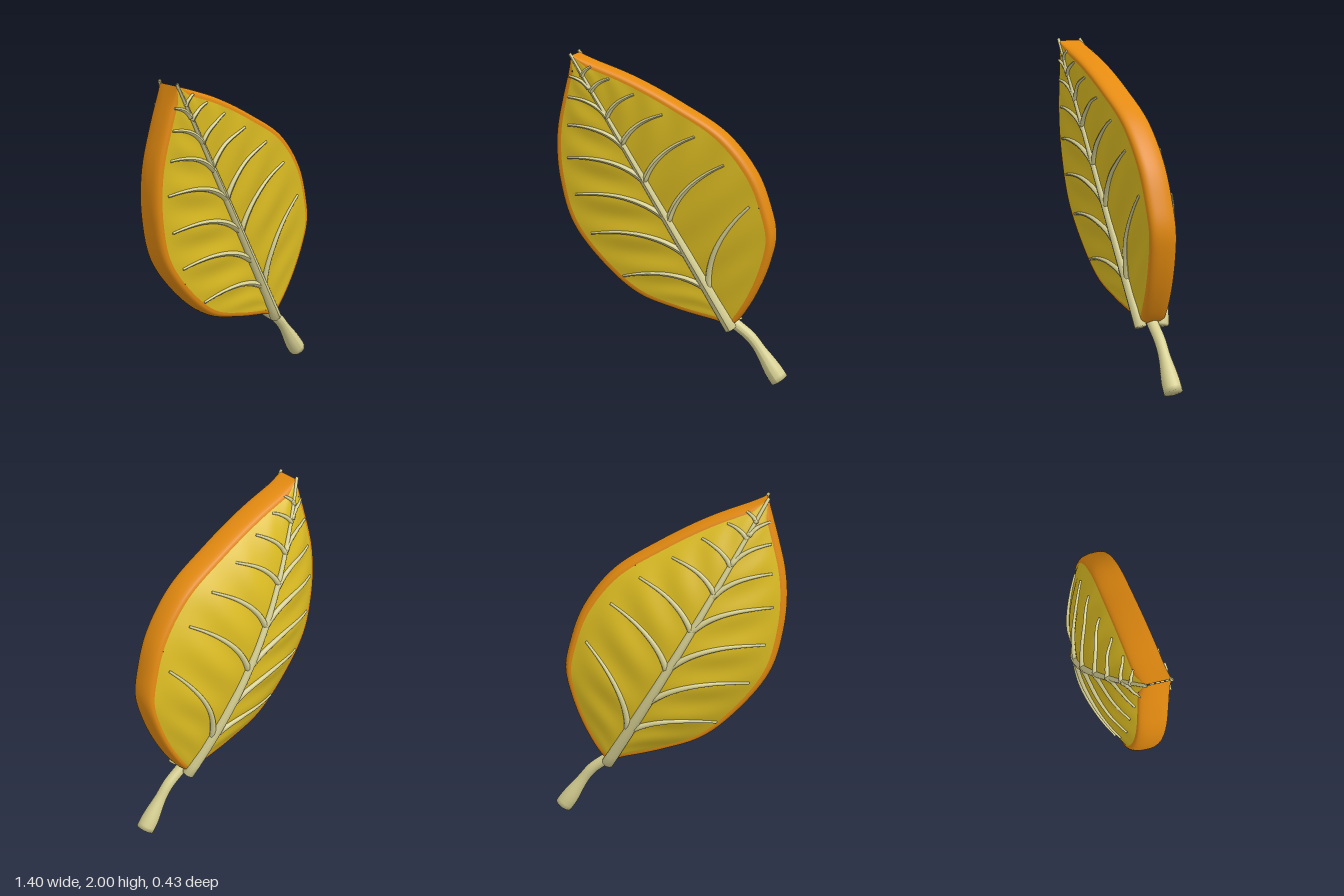
import * as THREE from 'three';
import { ParametricGeometry } from 'three/addons/geometries/ParametricGeometry.js';

const V2 = (x, y) => new THREE.Vector2(x, y);
const BASE = [0.355, 0.37], TIP = [-0.575, 1.985];

// Outline of each half, from the stem to the tip
const outline = (pts) => new THREE.CatmullRomCurve3(
  [BASE, ...pts, TIP].map(([x, y]) => new THREE.Vector3(x, y, 0)), false, 'centripetal').getSpacedPoints(200);
const edges = {
  '-1': outline([[0.01, 0.445], [-0.23, 0.53], [-0.465, 0.735], [-0.625, 0.96], [-0.69, 1.21], [-0.703, 1.4], [-0.69, 1.55], [-0.65, 1.72]]),
  '1': outline([[0.4, 0.4], [0.51, 0.58], [0.59, 0.79], [0.62, 0.95], [0.59, 1.11], [0.51, 1.32], [0.33, 1.545], [0.06, 1.715], [-0.23, 1.86]]),
};
const HALF = 0.07;

function edgeAt(t, side) {
  const f = THREE.MathUtils.clamp(t, 0, 1) * 200, i = Math.min(199, Math.floor(f));
  const p = edges[side][i].clone().lerp(edges[side][i + 1], f - i);
  return V2(p.x, p.y);
}
const ribAt = (t) => V2(...BASE).lerp(V2(...TIP), t);
const rimMid = (t) => -0.015 + 0.16 * t - 0.015 * t * t;
const dome = (t) => 0.18 * Math.pow(Math.max(0, Math.sin(Math.PI * t)), 0.9);

// Fraction of the half-width covered by the blade, the rest being rim
function bladeShare(t, side) {
  const len = edgeAt(t, side).distanceTo(ribAt(t));
  return 1 - Math.min(0.045, 0.5 * len) / Math.max(len, 1e-5);
}

// Blade height at (t along the midrib, u across), quilted between the veins
function bladeZ(t, u, face) {
  const share = bladeShare(t, u < 0 ? -1 : 1), q = Math.min(1, Math.abs(u) / share);
  const swell = 0.5 - 0.5 * Math.cos((2 * Math.PI * (t - 0.17 * Math.abs(u) - 0.14)) / 0.13);
  const puff = 0.016 * swell * Math.sin(Math.PI * q) * Math.sin(Math.PI * t);
  const bulge = face < 0 ? dome(t) * (1 - u * u) : 0;
  return rimMid(t) + face * (HALF + puff + bulge);
}

// Blade height under a point of the front plane
function heightAt(p, face) {
  let best = Infinity, bt = 0, bu = 0;
  for (const side of [-1, 1]) for (let i = 1; i < 200; i++) {
    const m = ribAt(i / 200), d = edgeAt(i / 200, side).sub(m);
    const k = THREE.MathUtils.clamp(p.clone().sub(m).dot(d) / d.lengthSq(), 0, 1);
    const dist = m.addScaledVector(d, k).distanceTo(p);
    if (dist < best) { best = dist; bt = i / 200; bu = k * side; }
  }
  return bladeZ(bt, bu, face);
}

// Tube whose radius follows a function of the distance along it; ends closed
function taperTube(points, radius, n = 32, sides = 10) {
  const curve = new THREE.CatmullRomCurve3(points);
  const g = new THREE.TubeGeometry(curve, n, 1, sides);
  const pos = g.attributes.position, v = new THREE.Vector3();
  for (let i = 0; i <= n; i++) {
    const inner = THREE.MathUtils.clamp(i, 1, n - 1);
    const end = i === 0 || i === n;
    const c = curve.getPointAt(i / n);
    const flat = curve.getPointAt(inner / n);
    for (let j = 0; j <= sides; j++) {
      const k = i * (sides + 1) + j;
      v.fromBufferAttribute(pos, k).sub(c).multiplyScalar(end ? 0.001 : radius(i / n)).add(end ? flat : c);
      // Outermost full rings sit on the true ends of the path
      if (!end && i === 1) v.add(curve.getPointAt(0)).sub(c);
      if (!end && i === n - 1) v.add(curve.getPointAt(1)).sub(c);
      if (end) v.add(curve.getPointAt(i / n)).sub(flat);
      pos.setXYZ(k, v.x, v.y, v.z);
    }
  }
  g.computeVertexNormals();
  return g;
}

function patch(fn, nu, nv) {
  const g = new ParametricGeometry((a, b, out) => fn(a, 0.002 + 0.996 * b, out), nu, nv);
  g.computeVertexNormals();
  return g;
}

export function createModel() {
  const model = new THREE.Group();
  model.name = 'leaf';
  const mat = (name, color) => Object.assign(new THREE.MeshStandardMaterial({ color }), { name });
  const yellow = mat('leafYellow', 0xdcbc22);
  const orange = mat('rimOrange', 0xe38a10);
  const pale = mat('veinPale', 0xd6cf92);
  const add = (name, geo, material, parent = model) => {
    const m = new THREE.Mesh(geo, material);
    m.name = name;
    parent.add(m);
  };

  // Front and back blade
  for (const face of [1, -1]) {
    add(face > 0 ? 'frontBlade' : 'backBlade', patch((a, t, out) => {
      const w = (a * 2 - 1) * face, side = w < 0 ? -1 : 1;
      const u = w * bladeShare(t, side);
      const p = ribAt(t).lerp(edgeAt(t, side), Math.abs(u));
      out.set(p.x, p.y, bladeZ(t, u, face));
    }, 48, 110), yellow);
  }

  // Thick rounded rim along both halves
  for (const side of [-1, 1]) {
    add(side < 0 ? 'rightRim' : 'leftRim', patch((a, t, out) => {
      const phi = Math.PI * (0.5 - a) * side;
      const s = Math.sin(phi), share = bladeShare(t, side);
      const c = Math.pow(Math.max(0, Math.cos(phi)), 0.7);
      const p = ribAt(t).lerp(edgeAt(t, side), share + (1 - share) * c);
      const extra = s < 0 ? dome(t) * (1 - share * share) * s * s : 0;
      out.set(p.x, p.y, rimMid(t) + Math.sign(s) * HALF * Math.pow(Math.abs(s), 0.75) - extra);
    }, 16, 90), orange);
  }

  // Side veins: start on the midrib, end near the rim
  const veins = {
    '-1': [[0.22, 0.6, -0.3, 0.64], [0.09, 0.81, -0.49, 0.9], [-0.03, 1.03, -0.58, 1.14], [-0.15, 1.25, -0.62, 1.365],
      [-0.27, 1.45, -0.61, 1.565], [-0.37, 1.63, -0.6, 1.735], [-0.47, 1.79, -0.59, 1.86]],
    '1': [[0.23, 0.6, 0.48, 1.14], [-0.01, 1.01, 0.33, 1.38], [-0.15, 1.25, 0.16, 1.54], [-0.28, 1.47, -0.03, 1.66],
      [-0.37, 1.62, -0.2, 1.77], [-0.46, 1.77, -0.345, 1.855], [-0.51, 1.86, -0.455, 1.92]],
  };
  for (const face of [1, -1]) {
    const group = new THREE.Group();
    group.name = face > 0 ? 'frontVeins' : 'backVeins';
    model.add(group);

    const rib = [];
    for (let i = 0; i <= 16; i++) {
      const t = -0.01 + 1.015 * i / 16, p = ribAt(t);
      rib.push(new THREE.Vector3(p.x, p.y, bladeZ(THREE.MathUtils.clamp(t, 0, 1), 0, face)));
    }
    add('midrib', taperTube(rib, (k) => 0.038 - 0.029 * k, 48), pale, group);

    for (const side of [-1, 1]) for (const [x0, y0, x1, y1] of veins[side]) {
      const a = V2(x0, y0), b = V2(x1, y1), d = b.clone().sub(a);
      const ctrl = a.clone().lerp(b, 0.42).add(V2(-d.y, d.x).multiplyScalar(0.22 * side));
      const path = new THREE.QuadraticBezierCurve(a, ctrl, b).getPoints(10)
        .map((p) => new THREE.Vector3(p.x, p.y, heightAt(p, face) + face * 0.003));
      const r = 0.012 + 0.014 * Math.min(1, d.length() / 0.5) * 0.6;
      add('sideVein', taperTube(path, (k) => r * (1 - k) + 0.007 * k, 24, 8), pale, group);
    }
  }

  // Curved stem, flaring at its cut end
  const stemPath = [[0.31, 0.41], [0.38, 0.355], [0.47, 0.285], [0.55, 0.18], [0.61, 0.09], [0.652, 0.03]]
    .map(([x, y]) => new THREE.Vector3(x, y, -0.022));
  add('stem', taperTube(stemPath, (k) => 0.034 + 0.021 * THREE.MathUtils.smoothstep(k, 0.5, 0.92), 36, 16), pale);

  return model;
}
